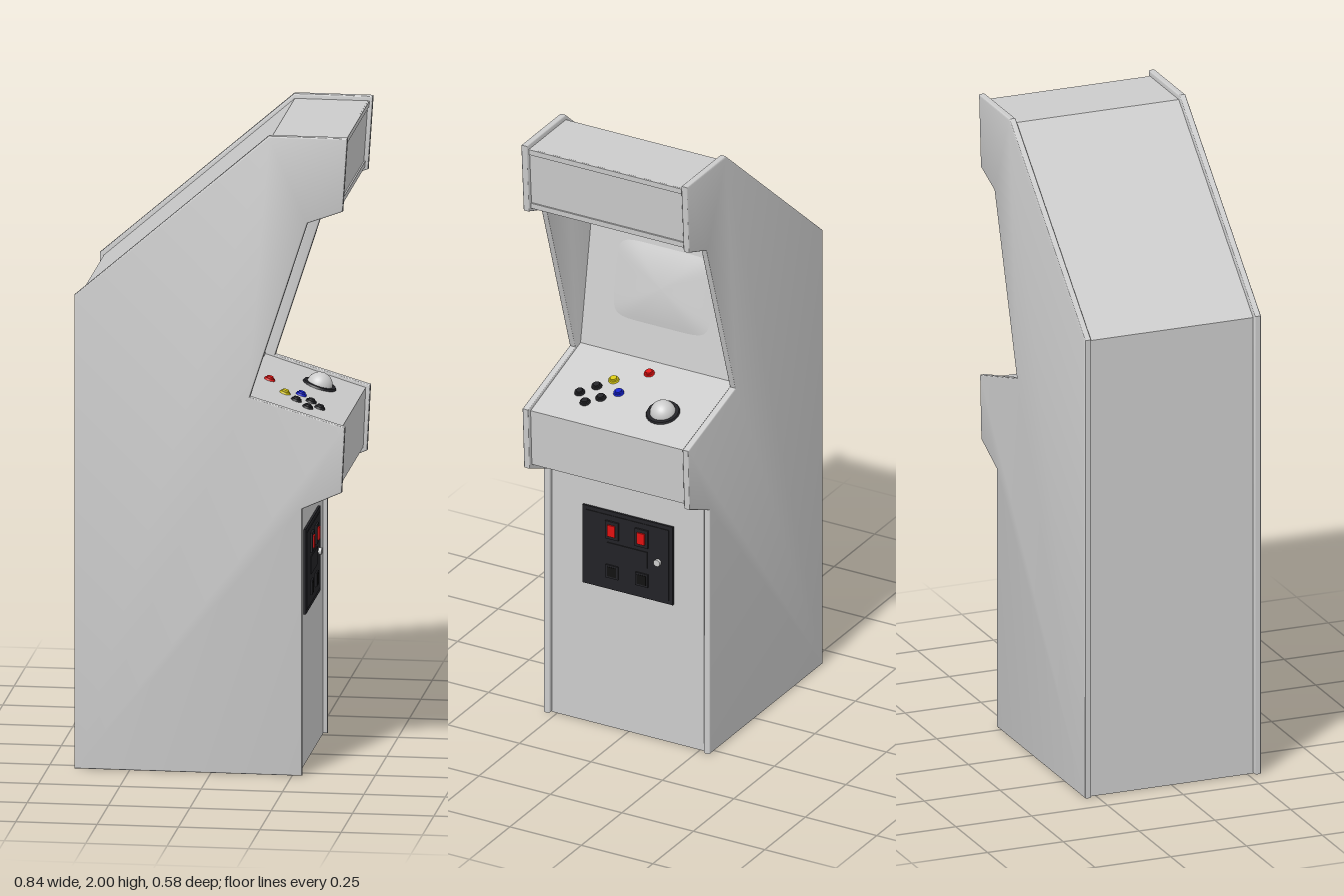
import * as THREE from 'three';
import { toCreasedNormals } from 'three/addons/utils/BufferGeometryUtils.js';

const mat = (color, side = THREE.FrontSide) => new THREE.MeshStandardMaterial({ color, side });
const grey = mat(0xcccccc), sheet = mat(0xcccccc, THREE.DoubleSide);
const black = mat(0x222226), dark = mat(0x111111), red = mat(0xe01010), yellow = mat(0xd8c810), blue = mat(0x1420d0);
const INNER = 0.542; // width between the side panels

function add(parent, name, geometry, material, x = 0, y = 0, z = 0) {
  const mesh = new THREE.Mesh(geometry, material);
  mesh.name = name;
  mesh.position.set(x, y, z);
  parent.add(mesh);
  return mesh;
}
const box = (w, h, d) => new THREE.BoxGeometry(w, h, d);
const disc = (r, h, r2 = r) => new THREE.CylinderGeometry(r2, r, h, 24).rotateX(Math.PI / 2);

// Side outline as x, y
const outline = [[-0.42, 0], [0.28, 0], [0.28, 0.835], [0.402, 0.89], [0.412, 1.095], [0.12, 1.181],
  [0.297, 1.73], [0.405, 1.77], [0.42, 2], [0.178, 2], [-0.42, 1.482]];

// Body panels between the sides, front bottom to back bottom
const body = [[0.267, 0], [0.267, 0.845], [0.39, 0.9], [0.398, 1.087], [0.09, 1.183], [0.01, 1.66],
  [0.391, 1.778], [0.405, 1.985], [0.18, 1.985], [-0.407, 1.475], [-0.407, 0]];
const names = ['frontPanel', 'controlBoxUnderside', 'controlBoxFront', 'controlPanel', 'screenBezel',
  'marqueeUnderside', 'marquee', 'roof', 'slopedBack', 'backPanel'];

// Group on a body segment: local x = -z, local y along the panel, local z outward
function bodyPanel(a, b, name) {
  const group = new THREE.Group();
  group.name = name;
  const dir = new THREE.Vector3(b[0] - a[0], b[1] - a[1], 0);
  const length = dir.length();
  dir.normalize();
  group.setRotationFromMatrix(new THREE.Matrix4().makeBasis(
    new THREE.Vector3(0, 0, -1), dir, new THREE.Vector3(dir.y, -dir.x, 0)));
  group.position.set((a[0] + b[0]) / 2, (a[1] + b[1]) / 2, 0);
  add(group, name + 'Sheet', new THREE.PlaneGeometry(INNER, length), sheet);
  group.userData.length = length;
  return group;
}

// Bulged rounded-rectangle glass
function glassGeometry(halfW, halfH, bulge) {
  const g = new THREE.RingGeometry(0.001, 1, 72, 8);
  const p = g.attributes.position;
  for (let i = 0; i < p.count; i++) {
    const x = p.getX(i), y = p.getY(i), r = Math.hypot(x, y), n = 7;
    const k = r / Math.pow(Math.abs(x) ** n + Math.abs(y) ** n, 1 / n);
    p.setXYZ(i, x * k * halfW, y * k * halfH, bulge * (1 - r * r));
  }
  g.computeVertexNormals();
  return g;
}

function addCoinDoor(front) {
  const door = new THREE.Group();
  door.name = 'coinDoor';
  door.position.set(0, 0.607 - 0.4225, 0);
  front.add(door);
  add(door, 'doorFrame', box(0.316, 0.266, 0.008), black, 0, 0, 0.003);
  add(door, 'doorLeaf', box(0.29, 0.24, 0.006), black, 0, 0, 0.006);
  for (const s of [-1, 1]) {
    add(door, 'coinSlotFrame', box(0.046, 0.06, 0.01), black, s * 0.052, 0.072, 0.01);
    add(door, 'coinButton', box(0.026, 0.038, 0.012), red, s * 0.052, 0.072, 0.014);
    add(door, 'coinReturn', box(0.044, 0.044, 0.008), black, s * 0.052, -0.07, 0.01);
    add(door, 'coinReturnFlap', box(0.032, 0.032, 0.008), dark, s * 0.052, -0.07, 0.011);
  }
  add(door, 'centrePlate', box(0.14, 0.055, 0.006), black, 0, 0, 0.009);
  add(door, 'lock', disc(0.011, 0.014), grey, 0.108, 0.003, 0.012);
}

function addControls(panel) {
  const [a, b] = [body[3], body[4]];
  const along = x => (x - (a[0] + b[0]) / 2) / ((b[0] - a[0]) / panel.userData.length);
  const buttons = [[0.14, 0, red], [0.2, 0.09, yellow], [0.244, 0.048, blue], [0.24, 0.127, black],
    [0.28, 0.09, black], [0.28, 0.164, black], [0.312, 0.127, black]];
  for (const [x, z, material] of buttons) {
    add(panel, 'buttonCollar', disc(0.017, 0.006, 0.015), material, -z, along(x), 0.003);
    add(panel, 'buttonPlunger', disc(0.011, 0.006, 0.01), material, -z, along(x), 0.008);
  }
  add(panel, 'trackballRing', disc(0.053, 0.006, 0.05), black, 0.125, along(0.276), 0.003);
  add(panel, 'trackball', new THREE.SphereGeometry(0.04, 32, 20), grey, 0.125, along(0.276), 0.001);
}

export function createModel() {
  const model = new THREE.Group();
  model.name = 'arcadeCabinet';

  // Side panels with rounded edge moulding
  const shape = new THREE.Shape(outline.map(([x, y]) => new THREE.Vector2(x, y)));
  const bevel = 0.005, thick = 0.022;
  const side = toCreasedNormals(new THREE.ExtrudeGeometry(shape, {
    depth: thick - 2 * bevel, bevelThickness: bevel, bevelSize: bevel, bevelOffset: -bevel, bevelSegments: 3,
  }).translate(0, 0, bevel - thick / 2), 0.7);
  add(model, 'leftSidePanel', side, grey, 0, 0, 0.28);
  add(model, 'rightSidePanel', side, grey, 0, 0, -0.28);

  // Body panels, open at the bottom
  const panels = {};
  names.forEach((name, i) => {
    panels[name] = bodyPanel(body[i], body[i + 1], name);
    model.add(panels[name]);
  });

  addCoinDoor(panels.frontPanel);
  addControls(panels.controlPanel);

  // Screen glass
  add(panels.screenBezel, 'screen', glassGeometry(0.168, 0.127, 0.018), grey, 0, 0, 0.0015);

  // Speaker grille under the marquee
  add(panels.marqueeUnderside, 'speakerGrille', box(0.37, 0.215, 0.004), dark, 0, 0.014, 0.001);

  // Marquee retainers
  for (const s of [-1, 1])
    add(panels.marquee, 'marqueeRetainer', box(INNER, 0.018, 0.005), grey, 0, s * 0.0945, 0.002);

  return model;
}
